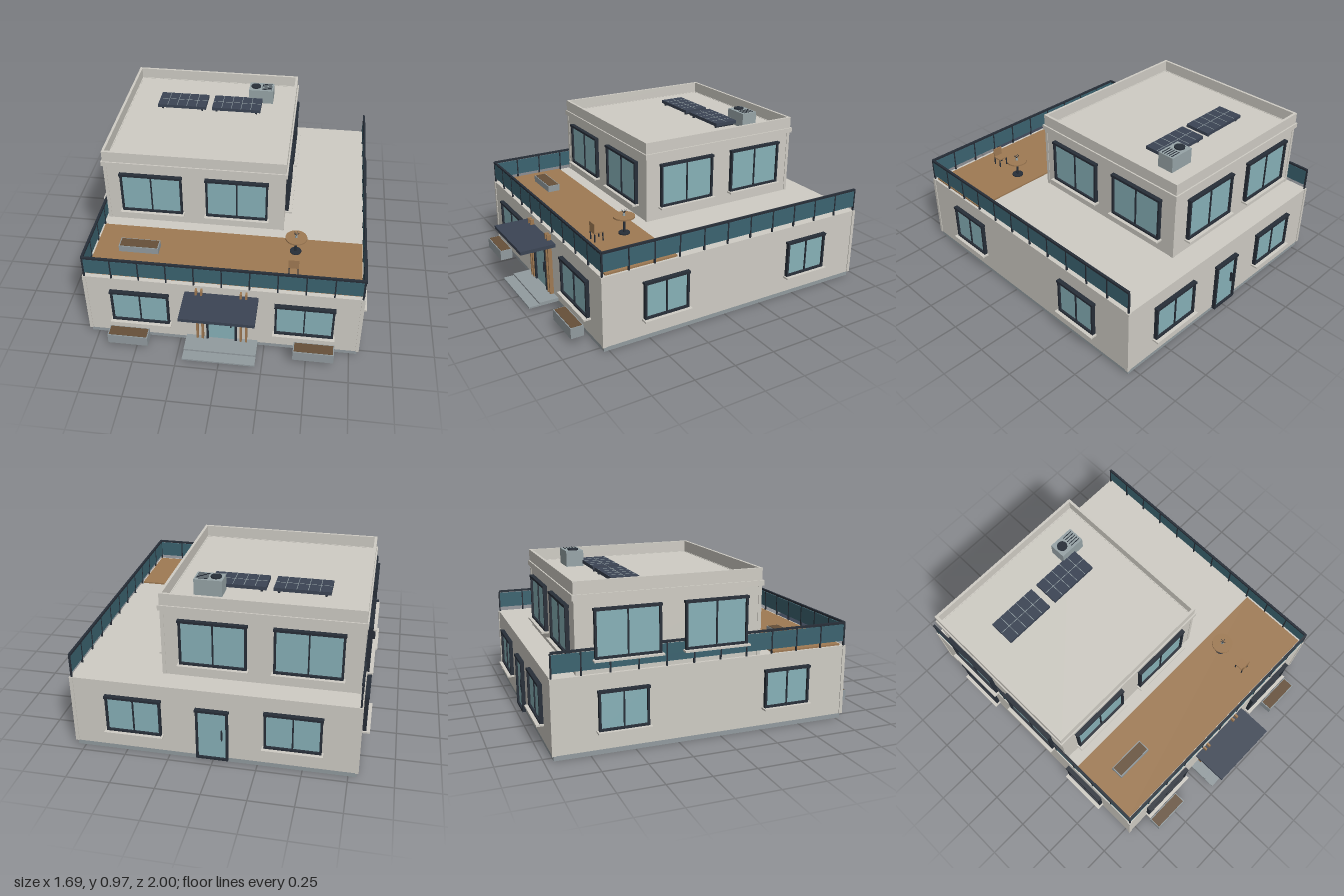
import * as THREE from 'three';

const mat = (name, color) => {
  const m = new THREE.MeshStandardMaterial({ color });
  m.name = name;
  return m;
};

export function createModel() {
  const M = {
    wall: mat('plaster', 0xcfccc4),
    stone: mat('grey stone', 0x929b9f),
    frame: mat('dark frame', 0x272e38),
    glass: mat('window glass', 0x87b1b8),
    rail: mat('railing glass', 0x3b6370),
    wood: mat('wood', 0x9f7a53),
    soil: mat('soil', 0x665039),
    navy: mat('slate blue', 0x3b4454),
    metal: mat('light metal', 0x97a4a7),
  };
  const house = new THREE.Group();
  house.name = 'house';

  const add = (parent, name, geometry, material) => {
    const mesh = new THREE.Mesh(geometry, material);
    mesh.name = name;
    parent.add(mesh);
    return mesh;
  };
  // Box given by its limits on each axis
  const box = (parent, name, material, x0, x1, y0, y1, z0, z1) => {
    const m = add(parent, name, new THREE.BoxGeometry(x1 - x0, y1 - y0, z1 - z0), material);
    m.position.set((x0 + x1) / 2, (y0 + y1) / 2, (z0 + z1) / 2);
    return m;
  };
  const cyl = (parent, name, material, r, y0, y1, x, z, sides = 24, rTop = r) => {
    const m = add(parent, name, new THREE.CylinderGeometry(rTop, r, y1 - y0, sides), material);
    m.position.set(x, (y0 + y1) / 2, z);
    return m;
  };
  const group = (name, x, y, z, turn = 0, parent = house) => {
    const g = new THREE.Group();
    g.name = name;
    g.position.set(x, y, z);
    g.rotation.y = turn;
    parent.add(g);
    return g;
  };
  // Rectangular ring of four walls
  const ring = (name, material, x0, x1, z0, z1, y0, y1, t) => {
    const g = group(name, 0, 0, 0);
    box(g, name + 'Front', material, x0, x1, y0, y1, z1 - t, z1);
    box(g, name + 'Back', material, x0, x1, y0, y1, z0, z0 + t);
    box(g, name + 'Right', material, x0, x0 + t, y0, y1, z0 + t, z1 - t);
    box(g, name + 'Left', material, x1 - t, x1, y0, y1, z0 + t, z1 - t);
  };
  // Slim raised strips on the four corners of a storey
  const corners = (name, x0, x1, z0, z1, y0, y1) => {
    for (const x of [x0, x1]) for (const z of [z0, z1])
      box(house, name, M.wall, x - 0.01, x + 0.01, y0, y1, z - 0.01, z + 0.01);
  };

  // Frame bars shared by windows and doors; local +z points out of the wall
  const frameBars = (g, w, h) => {
    const t = 0.012;
    for (const s of [-1, 1]) {
      const x = s * (w / 2 - t / 2);
      box(g, 'frameSide', M.frame, x - t / 2, x + t / 2, 0, h, 0, 0.022);
    }
    box(g, 'frameHead', M.frame, -w / 2 - 0.004, w / 2 + 0.004, h - t, h + 0.002, 0, 0.026);
    box(g, 'frameFoot', M.frame, -w / 2, w / 2, 0, t, 0, 0.022);
    box(g, 'glassPane', M.glass, -w / 2 + t, w / 2 - t, t, h - t, 0, 0.009);
  };
  const windowAt = (x, y, z, turn, w, h) => {
    const g = group('window', x, y, z, turn);
    frameBars(g, w, h);
    box(g, 'mullion', M.frame, -0.004, 0.004, 0.012, h - 0.012, 0, 0.016);
    box(g, 'sill', M.wall, -w / 2 - 0.01, w / 2 + 0.01, -0.01, 0, 0, 0.043);
  };
  const doorAt = (x, y, z, turn) => {
    const g = group('door', x, y, z, turn);
    frameBars(g, 0.18, 0.315);
    box(g, 'doorHandle', M.frame, 0.052, 0.058, 0.13, 0.195, 0.009, 0.022);
  };
  const planterAt = (x, y, z, h) => {
    const g = group('planter', x, y, z);
    box(g, 'trough', M.stone, -0.118, 0.118, 0, h, -0.039, 0.039);
    box(g, 'plantingSoil', M.soil, -0.112, 0.112, h, h + 0.002, -0.033, 0.033);
  };

  // Ground floor
  box(house, 'plinth', M.stone, -0.795, 0.795, 0, 0.03, -0.95, 0.78);
  box(house, 'groundFloor', M.wall, -0.802, 0.802, 0.03, 0.448, -0.955, 0.786);
  corners('groundCorner', -0.796, 0.796, -0.949, 0.78, 0.03, 0.448);
  for (const s of [-1, 1]) {
    windowAt(s * 0.478, 0.138, 0.786, 0, 0.34, 0.222);
    windowAt(s * 0.445, 0.138, -0.956, Math.PI, 0.315, 0.222);
    for (const z of [0.402, -0.568]) windowAt(s * 0.804, 0.138, z, s * Math.PI / 2, 0.28, 0.222);
    planterAt(s * 0.542, 0.046, 0.87, 0.064);
    // Timber slats beside the entrance
    for (const x of [0.113, 0.144])
      box(house, 'entranceSlat', M.wood, s * x - 0.006, s * x + 0.006, 0.045, 0.43, 0.786, 0.81);
  }
  doorAt(0, 0.022, 0.786, 0);
  doorAt(0, 0.022, -0.956, Math.PI);
  box(house, 'canopy', M.navy, -0.212, 0.212, 0.376, 0.397, 0.786, 1);
  box(house, 'lowerStep', M.stone, -0.212, 0.212, 0.024, 0.034, 0.786, 0.97);
  box(house, 'upperStep', M.stone, -0.212, 0.212, 0.034, 0.045, 0.786, 0.905);

  // Upper floor, cornice and parapet
  box(house, 'upperFloor', M.wall, -0.785, 0.307, 0.448, 0.87, -0.815, 0.236);
  corners('upperCorner', -0.778, 0.3, -0.808, 0.229, 0.448, 0.85);
  ring('cornice', M.wall, -0.797, 0.32, -0.828, 0.248, 0.842, 0.872, 0.03);
  ring('parapet', M.wall, -0.789, 0.311, -0.82, 0.24, 0.87, 0.94, 0.016);
  for (const x of [-0.5, 0.02]) {
    windowAt(x, 0.53, 0.238, 0, 0.375, 0.267);
    windowAt(x, 0.53, -0.818, Math.PI, 0.375, 0.267);
  }
  for (const z of [-0.036, -0.537]) {
    windowAt(0.308, 0.53, z, Math.PI / 2, 0.365, 0.267);
    windowAt(-0.794, 0.53, z, -Math.PI / 2, 0.365, 0.267);
  }

  // Solar panels with cell lines
  for (const x of [-0.422, -0.065]) {
    const g = group('solarPanel', x, 0.885, -0.478);
    box(g, 'panel', M.navy, -0.158, 0.158, 0, 0.02, -0.08, 0.08);
    for (let i = 1; i < 5; i++) {
      const lx = -0.158 + i * 0.0632;
      box(g, 'cellLine', M.metal, lx - 0.0015, lx + 0.0015, 0.02, 0.021, -0.078, 0.078);
    }
    box(g, 'cellLine', M.metal, -0.156, 0.156, 0.02, 0.021, -0.0015, 0.0015);
    for (const s of [-1, 1])
      box(g, 'panelFoot', M.frame, s * 0.13 - 0.006, s * 0.13 + 0.006, -0.015, 0, -0.07, 0.07);
  }

  // Roof cooling unit
  const cooler = group('coolingUnit', 0.082, 0.87, -0.605);
  box(cooler, 'casing', M.metal, -0.08, 0.08, 0, 0.093, -0.052, 0.052);
  cyl(cooler, 'fan', M.frame, 0.031, 0.093, 0.101, -0.037, 0);
  for (let i = 0; i < 5; i++) {
    const z = -0.034 + i * 0.017;
    box(cooler, 'grilleSlat', M.frame, 0.005, 0.07, 0.093, 0.096, z - 0.002, z + 0.002);
  }

  // Terrace deck
  box(house, 'deck', M.wood, -0.788, 0.788, 0.448, 0.458, 0.32, 0.758);

  // Railings: built along local x, centred on each run
  const railing = (x, z, turn, length, spans) => {
    const g = group('railing', x, 0.448, z, turn);
    const a = length / 2;
    box(g, 'glassPanel', M.rail, -a, a, 0.027, 0.125, -0.003, 0.003);
    box(g, 'handrail', M.frame, -a, a, 0.13, 0.142, -0.007, 0.007);
    for (let i = 0; i <= spans; i++) {
      const px = -a + (length * i) / spans;
      box(g, 'railPost', M.frame, px - 0.004, px + 0.004, 0, 0.132, -0.005, 0.005);
    }
  };
  railing(0, 0.78, 0, 1.59, 10);
  for (const s of [-1, 1]) railing(s * 0.794, -0.084, s * Math.PI / 2, 1.728, 11);

  // Terrace furniture
  planterAt(-0.525, 0.458, 0.522, 0.04);
  const table = group('table', 0.395, 0.458, 0.435);
  cyl(table, 'tableBase', M.frame, 0.034, 0, 0.007, 0, 0);
  cyl(table, 'tableStem', M.frame, 0.007, 0.007, 0.1, 0, 0, 12);
  cyl(table, 'tableTop', M.wood, 0.064, 0.1, 0.109, 0, 0, 32);
  cyl(table, 'vase', M.metal, 0.008, 0.109, 0.125, 0, 0, 12, 0.006);
  for (let i = 0; i < 5; i++) {
    const stem = group('sprig', 0, 0.122, 0, (i * Math.PI * 2) / 5, table);
    cyl(stem, 'twig', M.frame, 0.0015, 0, 0.024, 0.008, 0, 5).rotation.z = -0.7;
  }
  const chair = group('chair', 0.395, 0.458, 0.61);
  box(chair, 'seat', M.wood, -0.03, 0.03, 0.05, 0.057, -0.03, 0.03);
  box(chair, 'backrest', M.wood, -0.03, 0.03, 0.057, 0.11, 0.024, 0.03);
  for (const x of [-0.026, 0.026]) for (const z of [-0.026, 0.026])
    box(chair, 'chairLeg', M.frame, x - 0.003, x + 0.003, 0, 0.05, z - 0.003, z + 0.003);

  return house;
}
